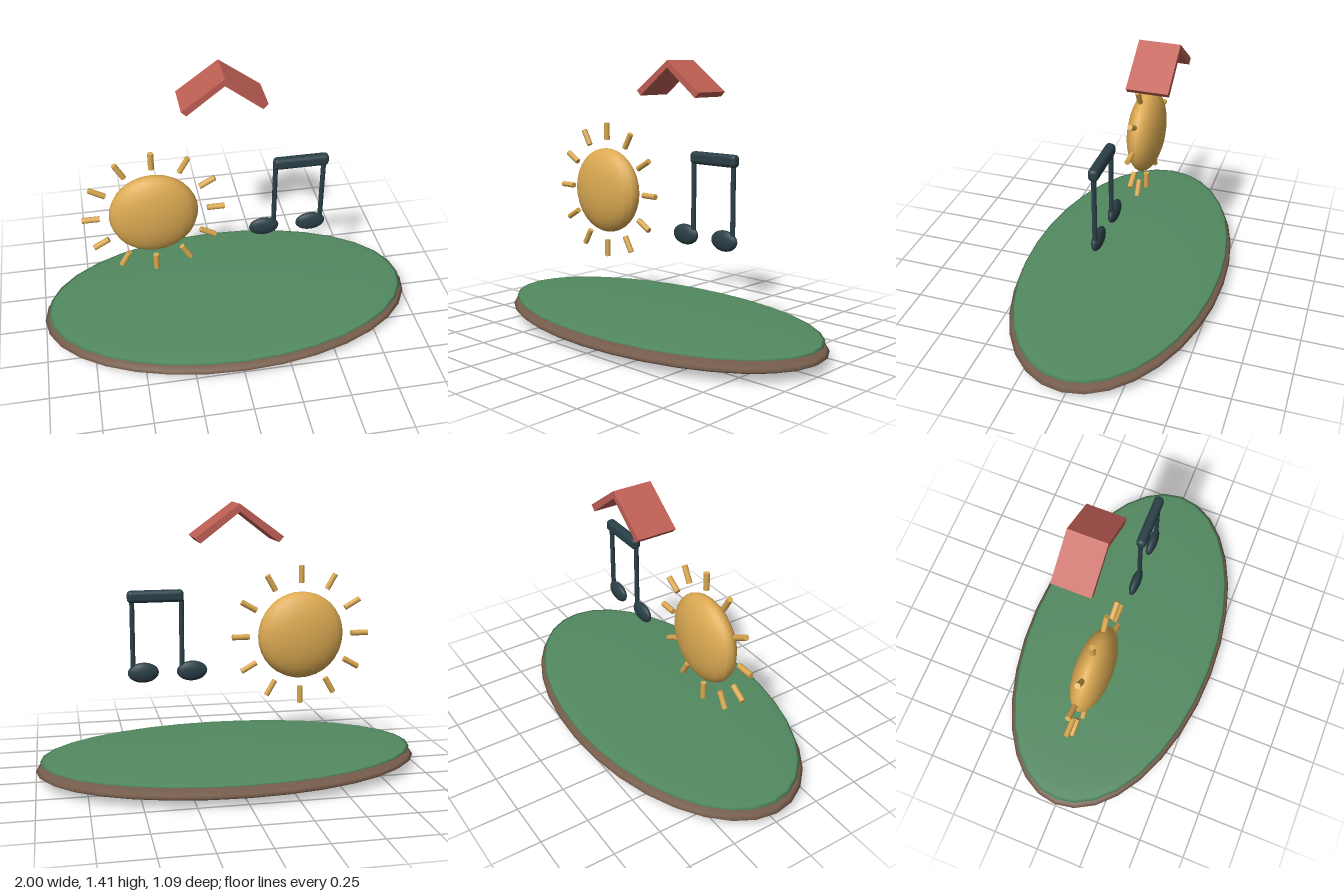
import * as THREE from 'three';
import { RoundedBoxGeometry } from 'three/addons/geometries/RoundedBoxGeometry.js';

const material = (color) => new THREE.MeshStandardMaterial({ color });
const brown = material(0x755c4b);
const green = material(0x528a60);
const gold = material(0xdcaa52);
const slate = material(0x2a3f47);
const red = material(0xc05f54);

function add(parent, name, geometry, mat, x = 0, y = 0, z = 0) {
  const mesh = new THREE.Mesh(geometry, mat);
  mesh.name = name;
  mesh.position.set(x, y, z);
  parent.add(mesh);
  return mesh;
}

function ellipsoid(rx, ry, rz, w, h) {
  return new THREE.SphereGeometry(1, w, h).scale(rx, ry, rz);
}

function group(parent, name) {
  const g = new THREE.Group();
  g.name = name;
  parent.add(g);
  return g;
}

export function createModel() {
  const model = new THREE.Group();
  model.name = 'floatingIsland';

  // Flattened earth disc with a grass cap
  add(model, 'earthBase', ellipsoid(1, 0.057, 0.545, 32, 16), brown, 0, 0.057);
  add(model, 'grassTop', ellipsoid(0.978, 0.02, 0.526, 32, 16), green, 0, 0.104);

  // Sun disc with twelve rays
  const sun = group(model, 'sun');
  sun.position.set(-0.38, 0.711, 0);
  add(sun, 'sunDisc', ellipsoid(0.228, 0.228, 0.093, 20, 16), gold);
  const rayGeometry = new THREE.CylinderGeometry(0.015, 0.015, 0.09, 8);
  for (let i = 0; i < 12; i++) {
    const a = (i / 12) * Math.PI * 2;
    const ray = add(sun, 'sunRay', rayGeometry, gold, Math.cos(a) * 0.319, Math.sin(a) * 0.319);
    ray.rotation.z = a - Math.PI / 2;
  }

  // Pair of notes joined by a beam
  const notes = group(model, 'musicNotes');
  const headGeometry = ellipsoid(0.079, 0.052, 0.026, 20, 14);
  const stemGeometry = new THREE.CylinderGeometry(0.0125, 0.0125, 0.39, 10);
  for (const x of [0.194, 0.444]) {
    add(notes, 'noteHead', headGeometry, slate, x, 0.547);
    add(notes, 'noteStem', stemGeometry, slate, x + 0.052, 0.745);
  }
  add(notes, 'noteBeam', new RoundedBoxGeometry(0.285, 0.062, 0.05, 3, 0.02), slate, 0.377, 0.938);

  // Chevron roof, two sloping slabs meeting at a ridge
  const profile = new THREE.Shape([
    [0, 1.408], [-0.216, 1.25], [-0.19, 1.224], [0, 1.371], [0.19, 1.224], [0.216, 1.25],
  ].map(([x, y]) => new THREE.Vector2(x, y)));
  add(model, 'roof', new THREE.ExtrudeGeometry(profile, { depth: 0.202, bevelEnabled: false }), red, 0, 0, -0.267);

  return model;
}
